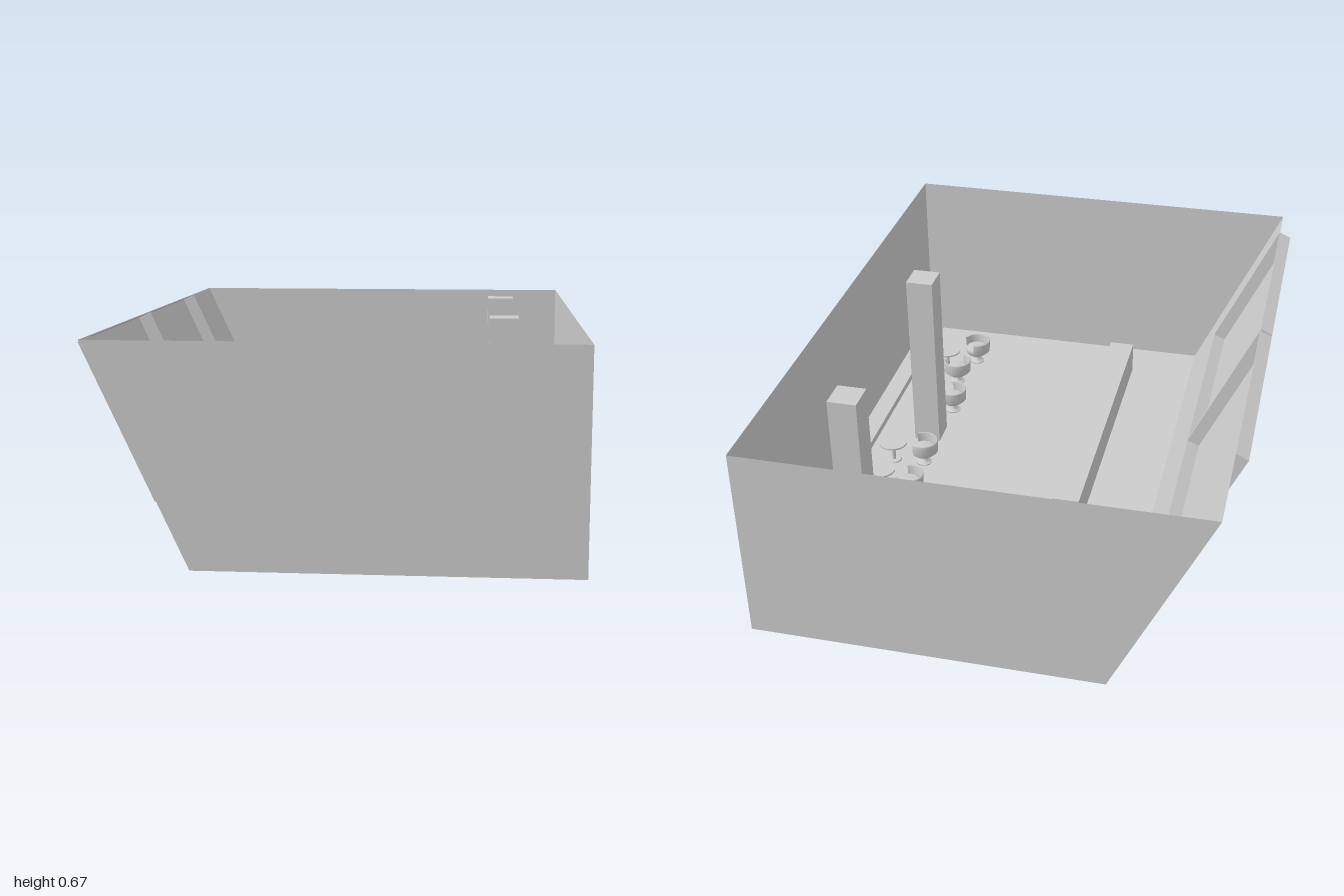
import * as THREE from 'three';

const mat = new THREE.MeshStandardMaterial({ color: 0xcccccc, side: THREE.DoubleSide });
const flatMat = new THREE.MeshStandardMaterial({ color: 0xcccccc, side: THREE.DoubleSide, flatShading: true });

const H = 0.67, RIGHT = 0.745, FOOT = -0.4, TOP = -0.71;

function add(parent, name, geometry, x = 0, y = 0, z = 0, material = flatMat) {
  const mesh = new THREE.Mesh(geometry, material);
  mesh.name = name;
  mesh.position.set(x, y, z);
  parent.add(mesh);
  return mesh;
}

const outline = (pts) => new THREE.Shape(pts.map(([x, y]) => new THREE.Vector2(x, y)));

// Flat sheet whose outline (a, b) is placed in space by a rule
function sheet(shape, place) {
  const g = new THREE.ShapeGeometry(shape);
  const p = g.attributes.position;
  for (let i = 0; i < p.count; i++) p.setXYZ(i, ...place(p.getX(i), p.getY(i)));
  g.computeVertexNormals();
  return g;
}

const rect = (a0, a1, b0, b1) => outline([[a0, b0], [a1, b0], [a1, b1], [a0, b1]]);

// Point on the leaning wall: z along it, y up it, d outward from it
const lean = (z, y, d = 0) => [FOOT + (TOP - FOOT) * y / H - 0.907 * d, y - 0.421 * d, z];

// Window bay: pane set outward with four reveals, open to the room
function windowBay(z0, z1) {
  const bay = new THREE.Group();
  bay.name = 'windowBay';
  const y0 = 0.19, y1 = 0.667, depth = 0.045;
  add(bay, 'pane', sheet(rect(z0, z1, y0, y1), (z, y) => lean(z, y, depth)));
  for (const y of [y0, y1]) {
    add(bay, y === y0 ? 'sill' : 'lintel', sheet(rect(z0, z1, 0, depth), (z, d) => lean(z, y, d)));
  }
  for (const z of [z0, z1]) {
    add(bay, 'jamb', sheet(rect(y0, y1, 0, depth), (y, d) => lean(z, y, d)));
  }
  return bay;
}

const lathe = (pts, start = 0, length = Math.PI * 2) =>
  new THREE.LatheGeometry(pts.map(([r, y]) => new THREE.Vector2(r, y)), 28, start, length);

// Tub chair on a pedestal, its opening turned to the angle given
function tubChair(x, z, facing) {
  const chair = new THREE.Group();
  chair.name = 'tubChair';
  chair.position.set(x, 0, z);
  add(chair, 'pedestal', lathe([[0, 0], [0.028, 0], [0.028, 0.004], [0.009, 0.008], [0.008, 0.03]]), 0, 0, 0, mat);
  add(chair, 'seat', lathe([[0.008, 0.028], [0.028, 0.032], [0.041, 0.042], [0.045, 0.056],
    [0.042, 0.066], [0.034, 0.07], [0, 0.072]]), 0, 0, 0, mat);
  const gap = 1.9;
  add(chair, 'backrest', lathe([[0.043, 0.05], [0.052, 0.052], [0.054, 0.094], [0.05, 0.099],
    [0.045, 0.095], [0.043, 0.05]], facing + gap / 2, Math.PI * 2 - gap), 0, 0, 0, mat);
  return chair;
}

function roundTable(x, z) {
  const table = new THREE.Group();
  table.name = 'roundTable';
  table.position.set(x, 0, z);
  add(table, 'tableTop', new THREE.CylinderGeometry(0.052, 0.052, 0.006, 28), 0, 0.077, 0, mat);
  add(table, 'tableStem', new THREE.CylinderGeometry(0.007, 0.007, 0.074, 12), 0, 0.037, 0, mat);
  add(table, 'tableFoot', new THREE.CylinderGeometry(0.026, 0.028, 0.005, 24), 0, 0.0025, 0, mat);
  return table;
}

export function createModel() {
  const room = new THREE.Group();
  room.name = 'room';

  // Floor and end walls
  add(room, 'floor', sheet(rect(FOOT, RIGHT, -1, 1), (x, z) => [x, 0, z]));
  for (const z of [-1, 1]) {
    const end = outline([[FOOT, 0], [RIGHT, 0], [RIGHT, H], [TOP, H]]);
    add(room, z > 0 ? 'frontWall' : 'backWall', sheet(end, (x, y) => [x, y, z]));
  }

  // Straight side wall with a long low slot
  const z0 = -0.66, z1 = 0.865, s0 = 0.04, s1 = 0.065, inner = 0.68;
  const side = rect(-1, 1, 0, H);
  side.holes.push(rect(z0, z1, s0, s1));
  add(room, 'sideWall', sheet(side, (z, y) => [RIGHT, y, z]));

  // Slot lining, standing inside as a ledge
  add(room, 'ledgeFace', sheet(rect(z0, z1, s0, s1), (z, y) => [inner, y, z]));
  for (const y of [s0, s1]) add(room, 'ledgeBoard', sheet(rect(inner, RIGHT, z0, z1), (x, z) => [x, y, z]));
  for (const z of [z0, z1]) add(room, 'ledgeEnd', sheet(rect(inner, RIGHT, s0, s1), (x, y) => [x, y, z]));

  // Leaning wall with two window openings
  const bays = [[-0.66, 0.085], [0.1, 0.865]];
  const wall = rect(-1, 1, 0, H);
  for (const [a, b] of bays) {
    wall.holes.push(rect(a, b, 0.19, 0.667));
    room.add(windowBay(a, b));
  }
  add(room, 'leaningWall', sheet(wall, (z, y) => lean(z, y)));

  // Bar counter with a lower middle section: [from z, to z, height]
  for (const [a, b, h] of [[-0.715, -0.455, 0.12], [-0.455, -0.27, 0.057], [-0.27, 0.83, 0.12]]) {
    add(room, 'barCounter', new THREE.BoxGeometry(0.092, h, b - a), -0.118, h / 2, (a + b) / 2);
  }

  // Pillars
  for (const z of [-0.61, 0.203]) {
    add(room, 'pillar', new THREE.BoxGeometry(0.096, H, 0.1), 0.512, H / 2, z);
  }

  // Tables, and chairs opening towards them
  const tables = [[0.59, -0.365], [0.585, -0.175], [0.595, 0], [0.59, 0.43], [0.585, 0.69]];
  for (const [x, z] of tables) room.add(roundTable(x, z));
  const chairs = [[0.475, -0.37, 0], [0.47, -0.205, 1], [0.48, 0.01, 2],
    [0.475, 0.38, 3], [0.515, 0.59, 4], [0.48, 0.765, 4]];
  for (const [x, z, t] of chairs) {
    room.add(tubChair(x, z, Math.atan2(tables[t][0] - x, tables[t][1] - z)));
  }
  return room;
}
